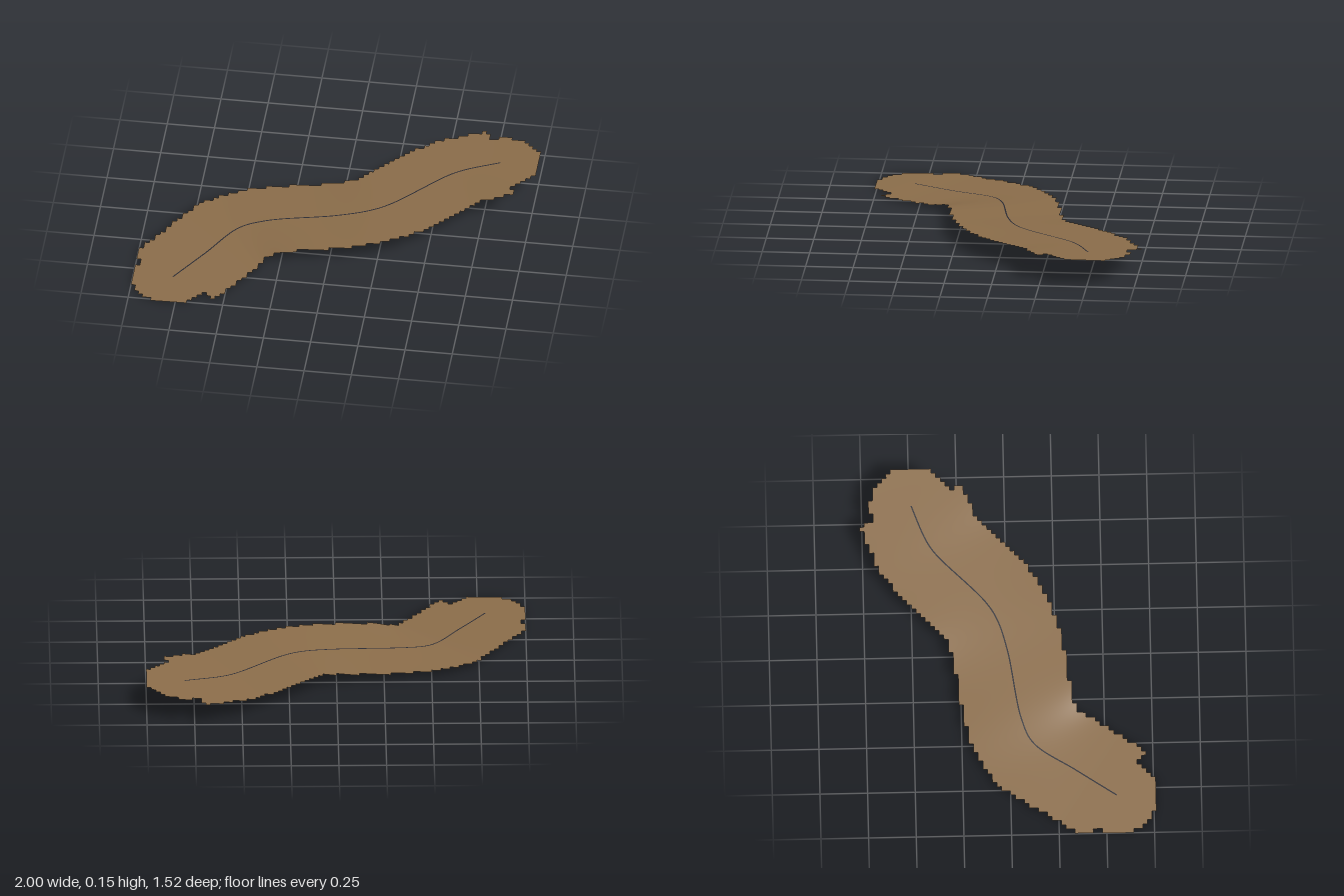
import * as THREE from 'three';

const CELL = 1 / 42;       // size of one ground square
const HALF_WIDTH = 0.292;  // ground reach either side of the path
const CAP = 0.215;         // ground reach past each end

// Winding path, climbing from the front left to the back right
const path = new THREE.CatmullRomCurve3([
  [-0.79, 0.016, 0.555], [-0.65, 0.025, 0.345], [-0.5, 0.041, 0.125], [-0.37, 0.055, 0.065],
  [0, 0.08, 0], [0.17, 0.093, -0.05], [0.27, 0.1, -0.11], [0.54, 0.119, -0.37],
  [0.62, 0.126, -0.42], [0.8, 0.139, -0.49],
].map((p) => new THREE.Vector3(...p)));

const COUNT = 120;
const samples = Array.from({ length: COUNT + 1 }, (_, i) => {
  const p = path.getPointAt(i / COUNT);
  const t = path.getTangentAt(i / COUNT);
  const flat = Math.hypot(t.x, t.z);
  const bank = 0.035 * THREE.MathUtils.smoothstep(i / COUNT, 0.15, 0.45);
  return { p, tx: t.x / flat, tz: t.z / flat, slope: t.y / flat, bank };
});

// Nearest path sample to a ground position
function nearest(x, z) {
  let best = 0, dist = Infinity;
  samples.forEach(({ p }, i) => {
    const d = Math.hypot(x - p.x, z - p.z);
    if (d < dist) { dist = d; best = i; }
  });
  return { best, dist };
}

// Height as a soft blend of the sloping planes along the path
function height(x, z) {
  const { dist } = nearest(x, z);
  let sum = 0, total = 0;
  for (const { p, tx, tz, slope, bank } of samples) {
    const dx = x - p.x, dz = z - p.z;
    const w = Math.exp(-(dx * dx + dz * dz - dist * dist) / 0.02);
    const along = dx * tx + dz * tz, across = dz * tx - dx * tz;
    sum += w * (p.y + slope * along + bank * across);
    total += w;
  }
  return sum / total;
}

function inside(x, z) {
  const { best, dist } = nearest(x, z);
  const { p, tx, tz } = samples[best];
  const along = (x - p.x) * tx + (z - p.z) * tz;
  const past = (best === 0 && along < 0) || (best === COUNT && along > 0);
  return dist < (past ? CAP : HALF_WIDTH);
}

function meshGeometry(positions, index) {
  const geometry = new THREE.BufferGeometry();
  geometry.setAttribute('position', new THREE.Float32BufferAttribute(positions, 3));
  geometry.setIndex(index);
  geometry.computeVertexNormals();
  return geometry;
}

// Sheet of square cells with a stepped outline
function groundGeometry() {
  const positions = [], index = [], known = new Map();
  const corner = (i, j) => {
    const key = `${i},${j}`;
    if (!known.has(key)) {
      known.set(key, positions.length / 3);
      positions.push(i * CELL, height(i * CELL, j * CELL), j * CELL);
    }
    return known.get(key);
  };
  for (let i = -42; i < 42; i++) {
    for (let j = -33; j < 33; j++) {
      if (!inside((i + 0.5) * CELL, (j + 0.5) * CELL)) continue;
      const a = corner(i, j), b = corner(i, j + 1);
      const c = corner(i + 1, j + 1), d = corner(i + 1, j);
      index.push(a, b, c, a, c, d);
    }
  }
  return meshGeometry(positions, index);
}

// Narrow ribbon lying just above the ground
function lineGeometry() {
  const positions = [], index = [], half = 0.0035;
  samples.forEach(({ p, tx, tz }, i) => {
    for (const side of [-1, 1]) {
      const x = p.x - side * half * tz, z = p.z + side * half * tx;
      positions.push(x, height(x, z) + 0.001, z);
    }
    if (i < COUNT) {
      const a = i * 2;
      index.push(a, a + 1, a + 3, a, a + 3, a + 2);
    }
  });
  return meshGeometry(positions, index);
}

export function createModel() {
  const earth = new THREE.MeshStandardMaterial({ color: 0x8b6d4a, side: THREE.DoubleSide });
  earth.name = 'earth brown';
  const dark = new THREE.MeshStandardMaterial({ color: 0x2b2b33, side: THREE.DoubleSide });
  dark.name = 'dark line';

  const ground = new THREE.Mesh(groundGeometry(), earth);
  ground.name = 'ground';
  const line = new THREE.Mesh(lineGeometry(), dark);
  line.name = 'centreLine';

  // Rest the lowest corner on y = 0
  ground.geometry.computeBoundingBox();
  const drop = -ground.geometry.boundingBox.min.y;
  ground.position.y = line.position.y = drop;

  const model = new THREE.Group();
  model.name = 'windingPath';
  model.add(ground, line);
  return model;
}
